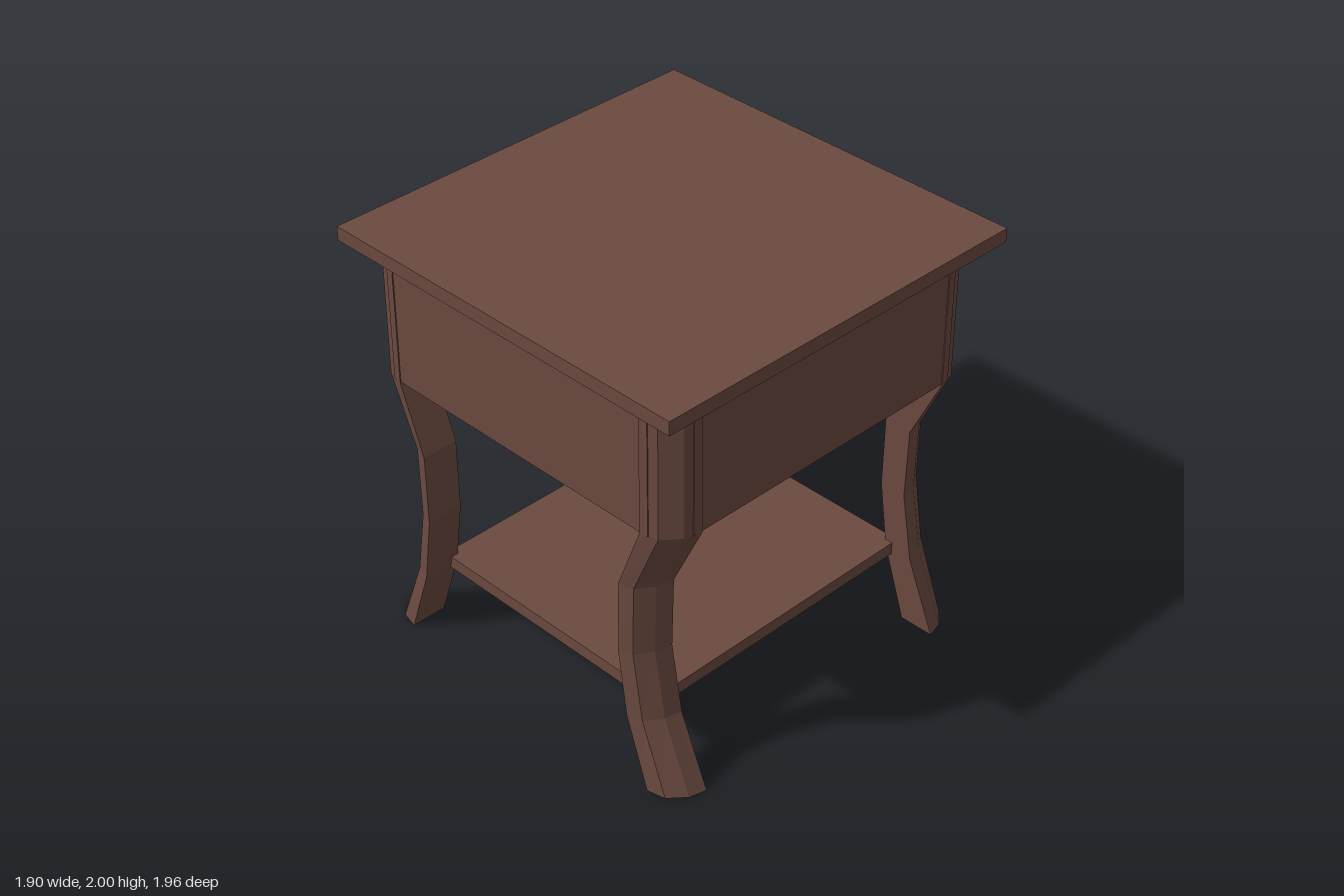
import * as THREE from 'three';

const mat = (color) => new THREE.MeshStandardMaterial({ color, flatShading: true, roughness: 0.8 });
const wood = mat(0x6b4a40), drawerWood = mat(0x836c55), metal = mat(0x4a504f);

function add(parent, name, geometry, material, x = 0, y = 0, z = 0) {
  const mesh = new THREE.Mesh(geometry, material);
  mesh.name = name;
  mesh.position.set(x, y, z);
  parent.add(mesh);
  return mesh;
}

// Box given by its minimum and maximum corners
function slab(parent, name, [x0, y0, z0], [x1, y1, z1], material = wood) {
  const g = new THREE.BoxGeometry(x1 - x0, y1 - y0, z1 - z0);
  return add(parent, name, g, material, (x0 + x1) / 2, (y0 + y1) / 2, (z0 + z1) / 2);
}

// Box whose face on one side of an axis is shrunk to leave bevelled edges
function bevelBox(w, h, d, axis, side, inset) {
  const g = new THREE.BoxGeometry(w, h, d);
  const p = g.attributes.position;
  const others = [0, 1, 2].filter((a) => a !== axis);
  for (let i = 0; i < p.count; i++) {
    if (p.getComponent(i, axis) * side < 0) continue;
    for (const a of others) {
      const v = p.getComponent(i, a);
      p.setComponent(i, a, v - Math.sign(v) * inset);
    }
  }
  g.computeVertexNormals();
  return g;
}

// Curved leg: a section with a faceted outer corner, swept through levels
function legGeometry(sx, sz) {
  // each level: height, inner x, outer x
  const levels = [[0, 0.74, 0.91], [0.34, 0.625, 0.765], [0.66, 0.58, 0.71],
    [1, 0.585, 0.72], [1.32, 0.71, 0.875], [1.9, 0.71, 0.875]];
  // section: fraction from inner to outer x, and z
  const section = [[0, 0.7], [0, 0.875], [0.5, 0.855], [0.88, 0.78], [1, 0.7]];
  const n = section.length, pos = [], idx = [];
  const tri = (a, b, c) => (sx * sz > 0 ? idx.push(a, b, c) : idx.push(a, c, b));
  for (const [y, xi, xo] of levels) {
    for (const [u, z] of section) pos.push(sx * (xi + u * (xo - xi)), y, sz * z);
  }
  for (let l = 0; l < levels.length - 1; l++) {
    for (let i = 0; i < n; i++) {
      const a = l * n + i, b = l * n + (i + 1) % n;
      tri(a, b, b + n);
      tri(a, b + n, a + n);
    }
  }
  const top = (levels.length - 1) * n;
  for (let i = 1; i < n - 1; i++) {
    tri(0, i + 1, i);
    tri(top, top + i, top + i + 1);
  }
  const g = new THREE.BufferGeometry();
  g.setAttribute('position', new THREE.Float32BufferAttribute(pos, 3));
  g.setIndex(idx);
  const flat = g.toNonIndexed();
  flat.computeVertexNormals();
  return flat;
}

export function createModel() {
  const table = new THREE.Group();
  table.name = 'sideTable';
  const body = new THREE.Group();
  body.name = 'body';
  body.position.z = 0.03;
  table.add(body);

  // Table top with a bevelled underside
  slab(body, 'tableTop', [-0.95, 1.935, -0.95], [0.95, 2, 0.95]);
  add(body, 'tableTopBevel', bevelBox(1.9, 0.035, 1.9, 1, -1, 0.07), wood, 0, 1.9175, 0);

  // Legs
  for (const sx of [-1, 1]) {
    for (const sz of [-1, 1]) {
      add(body, (sz > 0 ? 'front' : 'back') + (sx > 0 ? 'Left' : 'Right') + 'Leg', legGeometry(sx, sz), wood);
    }
  }

  // Apron panels, drawer frame and the board closing the case
  slab(body, 'frontApron', [-0.75, 1.32, 0.8], [0.75, 1.9, 0.87]);
  for (const s of [-1, 1]) {
    const x = [s * 0.8, s * 0.87].sort((a, b) => a - b);
    slab(body, 'sideApron', [x[0], 1.321, -0.74], [x[1], 1.9, 0.74]);
  }
  slab(body, 'drawerFrame', [-0.75, 1.322, -0.84], [0.75, 1.9, -0.77]);
  slab(body, 'caseBottom', [-0.81, 1.39, -0.78], [0.81, 1.43, 0.81]);

  // Lower shelf
  slab(body, 'shelf', [-0.66, 0.315, -0.735], [0.66, 0.375, 0.735]);

  // Drawer on the back side, with a bevelled front
  const drawer = new THREE.Group();
  drawer.name = 'drawer';
  drawer.position.set(0, 1.61, 0);
  table.add(drawer);
  slab(drawer, 'drawerBase', [-0.66, -0.235, -0.848], [0.66, 0.235, -0.79], drawerWood);
  add(drawer, 'drawerFront', bevelBox(1.32, 0.47, 0.047, 2, -1, 0.03), drawerWood, 0, 0, -0.8715);

  // Handle plate and tilted five-sided pull ring
  slab(drawer, 'handlePlate', [-0.135, -0.065, -0.93], [0.135, 0.085, -0.89], metal);
  const ringShape = new THREE.TorusGeometry(0.098, 0.018, 6, 5);
  ringShape.rotateZ(Math.PI / 2);
  const ring = add(drawer, 'pullRing', ringShape, metal, 0, -0.042, -0.953);
  ring.rotation.x = 0.1;
  return table;
}
